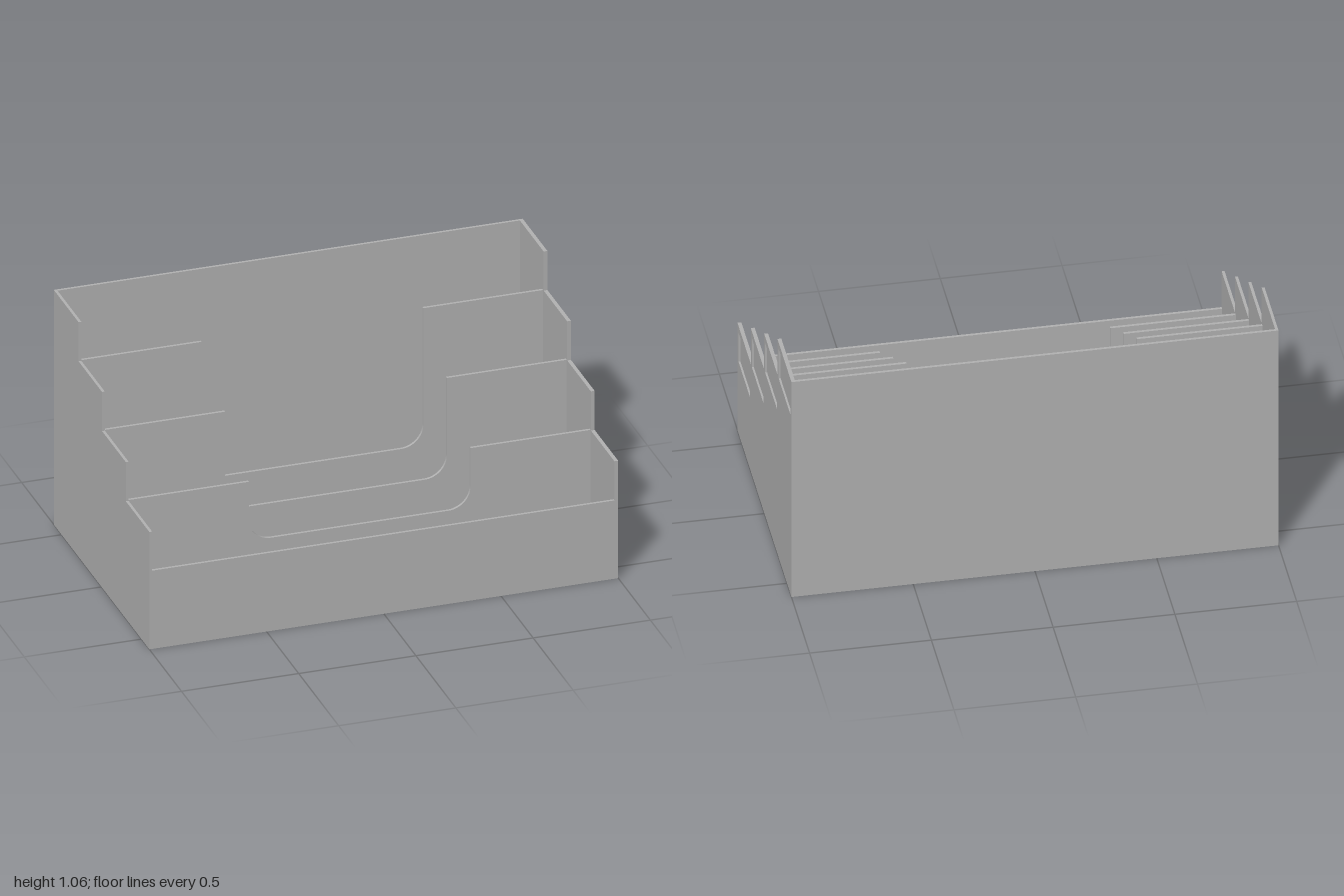
import * as THREE from 'three';

const gray = new THREE.MeshStandardMaterial({ color: 0xb2b2b2 });
gray.name = 'plain gray';

const HALF_DEPTH = 0.598, RISE = 0.1763, BASE = 0.353, TOTAL = 1.058;
const T = 0.012, LEFT_T = 0.016, RECESS = 0.008;
const RISERS = [0.303, 0.006, -0.288];

function add(group, name, geometry, x = 0, y = 0, z = 0) {
  const mesh = new THREE.Mesh(geometry, gray);
  mesh.name = name;
  mesh.position.set(x, y, z);
  group.add(mesh);
}

// Stepped outline of a side wall, drawn in (z, y)
function steppedShape() {
  const s = new THREE.Shape();
  s.moveTo(-HALF_DEPTH, 0);
  s.lineTo(HALF_DEPTH, 0);
  let y = BASE + RISE;
  s.lineTo(HALF_DEPTH, y);
  for (const z of RISERS) {
    s.lineTo(z, y);
    y += RISE;
    s.lineTo(z, y);
  }
  s.lineTo(-HALF_DEPTH, TOTAL);
  s.closePath();
  return s;
}

// Extrudes a (z, y) shape so that its outer face lies at x = outerX
function sideWall(shape, depth, outerX) {
  return new THREE.ExtrudeGeometry(shape, { depth, bevelEnabled: false })
    .rotateY(-Math.PI / 2).translate(outerX, 0, 0);
}

// Divider with a wide rounded U cut in its top edge
function dividerGeometry(height) {
  const w = 1 - T, u = 0.473, bottom = 0.262, r = 0.095;
  const s = new THREE.Shape();
  s.moveTo(-w, 0);
  s.lineTo(w - 0.004, 0);
  s.lineTo(w - 0.004, height);
  s.lineTo(u, height);
  s.lineTo(u, bottom + r);
  s.absarc(u - r, bottom + r, r, 0, -Math.PI / 2, true);
  s.lineTo(-u + r, bottom);
  s.absarc(-u + r, bottom + r, r, -Math.PI / 2, -Math.PI, true);
  s.lineTo(-u, height);
  s.lineTo(-w, height);
  s.closePath();
  return new THREE.ExtrudeGeometry(s, { depth: T, bevelEnabled: false, curveSegments: 12 });
}

export function createModel() {
  const model = new THREE.Group();
  model.name = 'tieredOrganizer';

  // Plain right wall
  add(model, 'rightWall', sideWall(steppedShape(), T, -1 + T));

  // Left wall: solid inner layer and an outer layer with label recesses
  add(model, 'leftWallInner', sideWall(steppedShape(), LEFT_T - RECESS, 1 - RECESS));
  const outer = steppedShape();
  for (let i = 0; i < 4; i++) {
    const z0 = 0.316 - i * 0.2967, z1 = z0 + 0.26;
    const y0 = BASE + i * RISE, y1 = y0 + 0.144;
    const hole = new THREE.Path();
    hole.moveTo(z0, y0);
    hole.lineTo(z0, y1);
    hole.lineTo(z1, y1);
    hole.lineTo(z1, y0);
    hole.closePath();
    outer.holes.push(hole);
  }
  add(model, 'leftWallLabelFrame', sideWall(outer, RECESS, 1));

  // Floor, front and back
  const width = 2 - T - LEFT_T, cx = (T - LEFT_T) / 2;
  add(model, 'floor', new THREE.BoxGeometry(width, T, 2 * HALF_DEPTH), cx, T / 2, 0);
  add(model, 'frontPanel', new THREE.BoxGeometry(width, BASE, T), cx, BASE / 2, HALF_DEPTH - T / 2);
  add(model, 'backPanel', new THREE.BoxGeometry(width, TOTAL, T), cx, TOTAL / 2, -HALF_DEPTH + T / 2);

  // Three dividers rising toward the back
  RISERS.forEach((z, i) => {
    add(model, 'divider' + (i + 1), dividerGeometry(BASE + RISE * (i + 1)), 0, 0, z - 0.006 - T);
  });

  return model;
}
